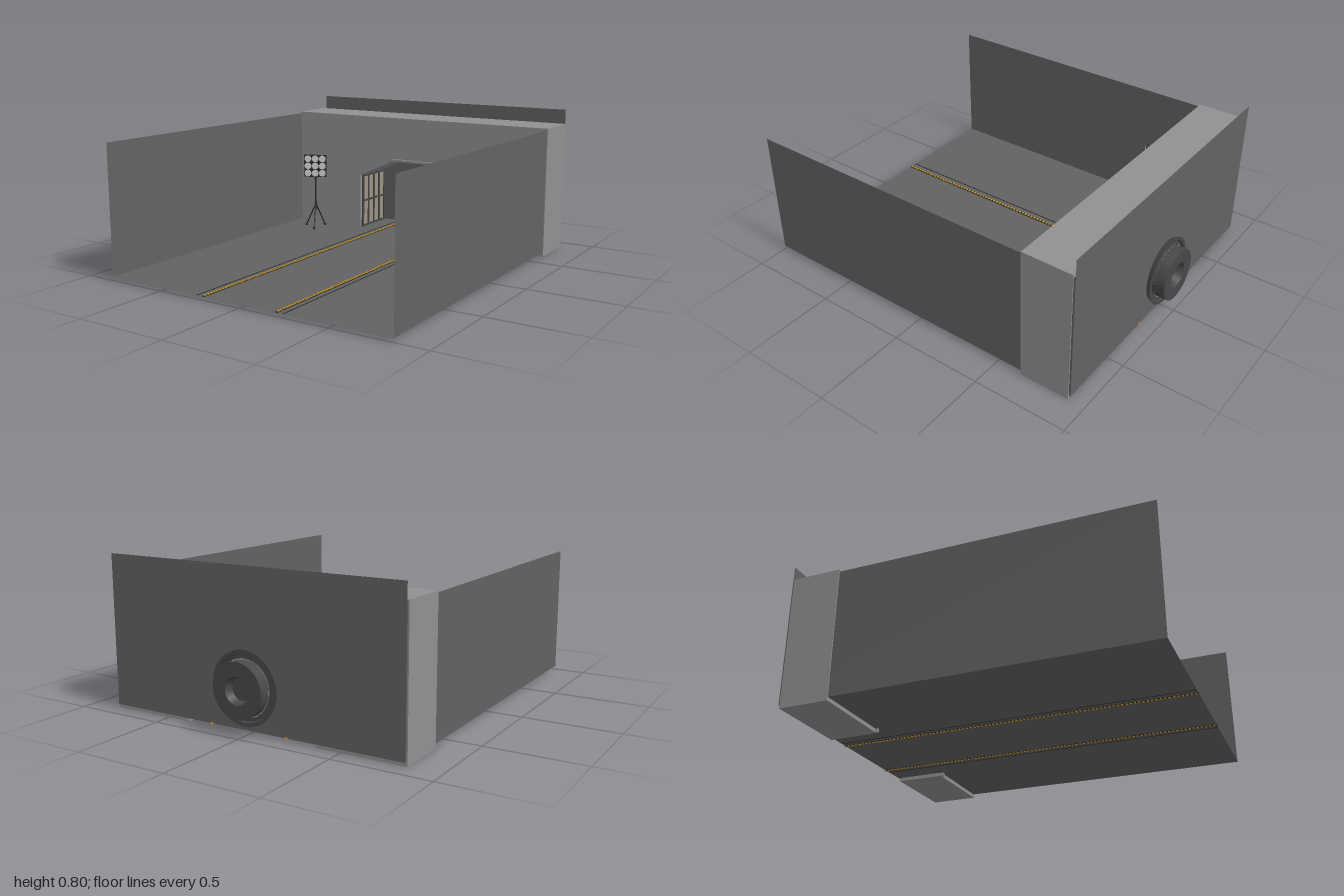
import * as THREE from 'three';
import { mergeGeometries, toCreasedNormals } from 'three/addons/utils/BufferGeometryUtils.js';

const mat = (color) => new THREE.MeshStandardMaterial({ color, side: THREE.DoubleSide });

export function createModel() {
  const model = new THREE.Group();
  const concrete = mat(0x909090), dark = mat(0x626262), metal = mat(0x484848);
  const black = mat(0x2a2a2a), light = mat(0xcccccc), yellow = mat(0xc8961e), beige = mat(0x9a9282);

  const add = (name, geometry, material, parent = model) => {
    const mesh = new THREE.Mesh(geometry, material);
    mesh.name = name;
    parent.add(mesh);
    return mesh;
  };
  const box = (w, h, d, x, y, z) => new THREE.BoxGeometry(w, h, d).translate(x, y, z);
  const rod = (a, b, r) => new THREE.TubeGeometry(
    new THREE.LineCurve3(new THREE.Vector3(...a), new THREE.Vector3(...b)), 1, r, 8);
  const shapeOf = (points) => new THREE.Shape(points.map(([x, y]) => new THREE.Vector2(x, y)));
  const extrude = (shape, depth, z) =>
    new THREE.ExtrudeGeometry(shape, { depth, bevelEnabled: false, curveSegments: 10 }).translate(0, 0, z);

  // Floor and thin walls
  const fanY = 0.23;
  add('floor', new THREE.PlaneGeometry(1.66, 1.92).rotateX(-Math.PI / 2).translate(0, 0.02, 0.04), dark);
  for (const s of [-1, 1]) {
    add(s > 0 ? 'leftWall' : 'rightWall',
      new THREE.PlaneGeometry(1.92, 0.69).rotateY(s * Math.PI / 2).translate(s * 0.83, 0.365, 0.04), dark);
  }
  const back = shapeOf([[-0.83, 0.02], [0.83, 0.02], [0.83, 0.8], [-0.83, 0.8]]);
  back.holes.push(new THREE.Path().absarc(0, fanY, 0.165, 0, Math.PI * 2, true));
  add('backWall', new THREE.ShapeGeometry(back, 24).translate(0, 0, -0.92), dark);

  // Thick wall with a chamfered archway
  const arch = [[-0.372, 0], [-0.372, 0.35], [-0.145, 0.457], [0.145, 0.457], [0.372, 0.35], [0.372, 0]];
  const archOuter = [[0.387, 0], [0.387, 0.36], [0.15, 0.47], [-0.15, 0.47], [-0.387, 0.36], [-0.387, 0]];
  add('archWall', extrude(shapeOf([[-0.835, 0], ...arch, [0.835, 0], [0.835, 0.72], [-0.835, 0.72]]), 0.27, -0.91), concrete);
  add('archTrim', extrude(shapeOf([...arch, ...archOuter]), 0.015, -0.64), concrete);

  // Framed panels lining both sides of the archway
  for (const s of [-1, 1]) {
    const x = s * 0.367, frame = [];
    for (let i = 0; i <= 4; i++) frame.push(box(0.012, 0.33, 0.012, x, 0.185, -0.648 - i * 0.063));
    for (const y of [0.026, 0.185, 0.344]) frame.push(box(0.012, 0.012, 0.26, x, y, -0.774));
    const panels = new THREE.Group();
    panels.name = s > 0 ? 'leftSidePanels' : 'rightSidePanels';
    model.add(panels);
    add('panelFrame', mergeGeometries(frame), metal, panels);
    add('panelInfill', box(0.004, 0.32, 0.25, s * 0.369, 0.185, -0.774), beige, panels);
  }

  // Guide lights and seams along the floor
  for (const s of [-1, 1]) {
    const dots = [];
    for (let z = -0.92; z < 0.995; z += 0.0212) dots.push(box(0.011, 0.01, 0.011, s * 0.218, 0.021, z));
    add('guideLights', mergeGeometries(dots), yellow);
    add('guideTrack', box(0.018, 0.003, 1.92, s * 0.218, 0.0205, 0.04), black);
    add('floorSeam', box(0.005, 0.003, 1.92, s * 0.257, 0.0205, 0.04), black);
  }

  // Exhaust fan, built around the z axis
  const fan = new THREE.Group();
  fan.name = 'fan';
  fan.position.y = fanY;
  model.add(fan);
  const profile = [
    [0.141, -0.95], [0.141, -0.9], [0.15, -0.89], [0.165, -0.89], [0.174, -0.9], [0.17, -0.92],
    [0.184, -0.945], [0.165, -0.945], [0.16, -0.935], [0.138, -0.935], [0.138, -1],
    [0.068, -1], [0.055, -0.96], [0, -0.96],
  ].map(([r, z]) => new THREE.Vector2(r, z));
  const lathe = (points, n = 40) =>
    toCreasedNormals(new THREE.LatheGeometry(points, n).rotateX(Math.PI / 2), 0.5);
  add('fanHousing', lathe(profile), metal, fan);
  add('fanBackplate', new THREE.CircleGeometry(0.142, 40).translate(0, 0, -0.945), light, fan);
  const hub = [[0, -0.895], [0.022, -0.895], [0.026, -0.902], [0.03, -0.902], [0.04, -0.912], [0.04, -0.945]];
  add('fanHub', lathe(hub.map(([r, z]) => new THREE.Vector2(r, z)), 24), metal, fan);

  // Five broad blades, pitched about their own axes
  const blade = new THREE.Shape();
  blade.moveTo(-0.012, 0.03);
  blade.bezierCurveTo(-0.03, 0.06, -0.05, 0.09, -0.042, 0.122);
  blade.bezierCurveTo(-0.035, 0.14, 0.012, 0.14, 0.027, 0.118);
  blade.bezierCurveTo(0.042, 0.09, 0.035, 0.06, 0.014, 0.03);
  for (let i = 0; i < 5; i++) {
    const geometry = extrude(blade, 0.003, 0).rotateY(0.25).translate(0, 0, -0.924)
      .rotateZ(i * Math.PI * 2 / 5);
    add('fanBlade', geometry, metal, fan);
  }

  // Tripod floodlights, turned inwards
  for (const s of [-1, 1]) {
    const stand = new THREE.Group();
    stand.name = s > 0 ? 'leftFloodlight' : 'rightFloodlight';
    stand.position.set(s * 0.606, 0, -0.475);
    stand.scale.x = -s;
    model.add(stand);

    add('pole', rod([0, 0.13, 0], [0, 0.41, 0], 0.005), black, stand);
    add('collar', new THREE.CylinderGeometry(0.008, 0.008, 0.02, 10).translate(0, 0.17, 0), black, stand);
    add('upperCollar', new THREE.CylinderGeometry(0.008, 0.008, 0.015, 10).translate(0, 0.335, 0), black, stand);
    for (const [x, z] of [[-0.078, -0.008], [0.018, -0.072], [0.032, 0.066]]) {
      add('leg', rod([0, 0.17, 0], [x, 0.03, z], 0.004), black, stand);
      add('foot', new THREE.SphereGeometry(0.009, 10, 8).translate(x, 0.029, z), black, stand);
    }

    const head = new THREE.Group();
    head.name = 'lampHead';
    head.position.set(0.009, 0.412, 0.016);
    head.rotation.y = 0.43;
    stand.add(head);
    add('lampPanel', box(0.138, 0.138, 0.01, 0, 0, 0), black, head);
    add('lampBracket', box(0.02, 0.03, 0.016, 0, 0, -0.01), black, head);
    for (let i = 0; i < 9; i++) {
      const lamp = add('lamp', new THREE.CylinderGeometry(0.021, 0.021, 0.004, 20).rotateX(Math.PI / 2), light, head);
      lamp.position.set((i % 3 - 1) * 0.045, (Math.floor(i / 3) - 1) * 0.045, 0.006);
    }
  }
  return model;
}
